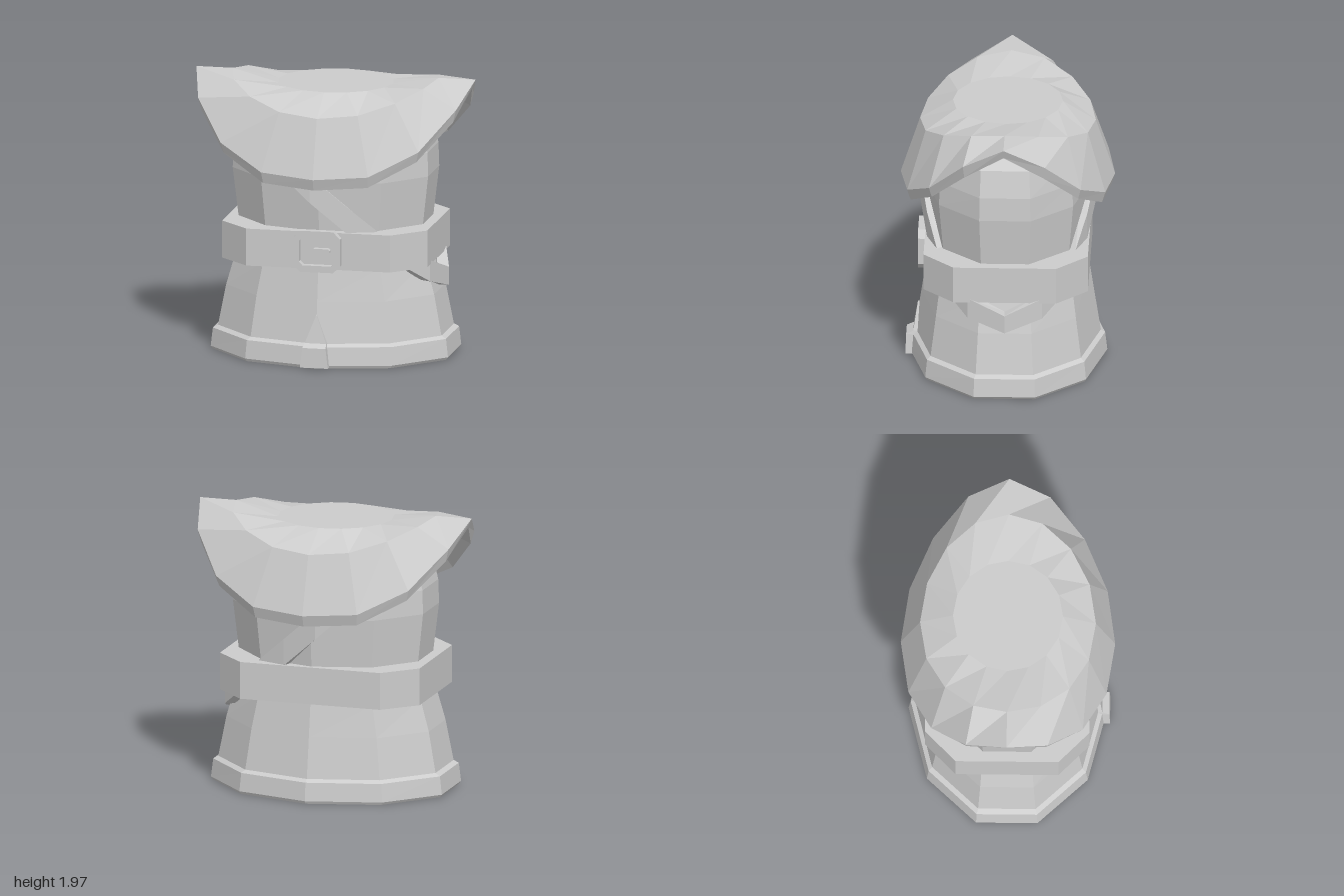
import * as THREE from 'three';

const cloth = new THREE.MeshStandardMaterial({ color: 0xcccccc, flatShading: true });
cloth.name = 'plainGrey';

// Skins closed rings of [x, y, z]; rings run from the underside up the outside.
function loft(rings, { caps = true, closed = false } = {}) {
  const pos = [];
  const n = rings[0].length;
  const tri = (...p) => p.forEach((v) => pos.push(...v));
  const last = closed ? rings.length : rings.length - 1;
  for (let r = 0; r < last; r++) {
    const lo = rings[r], hi = rings[(r + 1) % rings.length];
    for (let i = 0; i < n; i++) {
      const j = (i + 1) % n;
      tri(lo[i], hi[i], lo[j]);
      tri(lo[j], hi[i], hi[j]);
    }
  }
  if (caps && !closed) {
    const end = (ring, up) => {
      const c = [0, 1, 2].map((k) => ring.reduce((s, p) => s + p[k], 0) / n);
      ring.forEach((p, i) => {
        const q = ring[(i + 1) % n];
        if (up) tri(c, q, p); else tri(c, p, q);
      });
    };
    end(rings[0], false);
    end(rings[rings.length - 1], true);
  }
  const g = new THREE.BufferGeometry();
  g.setAttribute('position', new THREE.Float32BufferAttribute(pos, 3));
  g.computeVertexNormals();
  return g;
}

// Ten-sided ring with a flat at each side and a corner at front and back.
function tenSided(y, sideX, rz) {
  const rx = sideX / Math.cos(Math.PI / 10);
  return Array.from({ length: 10 }, (_, i) => {
    const a = ((2 * i + 1) * Math.PI) / 10;
    return [Math.cos(a) * rx, y, Math.sin(a) * rz];
  });
}

// Sixteen-sided ring whose height follows a quarter table, from side to front.
function capeRing(rx, rz, heights) {
  return Array.from({ length: 16 }, (_, i) => {
    const a = (i * Math.PI) / 8;
    const q = i % 8;
    return [Math.cos(a) * rx, heights[q > 4 ? 8 - q : q], Math.sin(a) * rz];
  });
}

// Octagon outline with cut corners, for the buckle.
function cutRect(Type, cx, cy, w, h, c) {
  const pts = [[-w, -h + c], [-w + c, -h], [w - c, -h], [w, -h + c], [w, h - c], [w - c, h], [-w + c, h], [-w, h - c]];
  return new Type(pts.map(([x, y]) => new THREE.Vector2(cx + x, cy + y)));
}

export function createModel() {
  const model = new THREE.Group();
  model.name = 'tunic';
  const add = (name, geometry, parent = model) => {
    const m = new THREE.Mesh(geometry, cloth);
    m.name = name;
    parent.add(m);
    return m;
  };

  // Torso and skirt
  add('tunicBody', loft([
    [0.1, 0.8, 0.655], [0.17, 0.8, 0.65], [0.46, 0.745, 0.605], [0.69, 0.68, 0.57],
    [0.95, 0.66, 0.545], [1.3, 0.7, 0.58], [1.47, 0.695, 0.57], [1.66, 0.65, 0.55], [1.76, 0.46, 0.38],
  ].map((p) => tenSided(...p))));

  // Thick band at the bottom of the skirt
  add('hem', loft([
    [0, 0.835, 0.685], [0.02, 0.85, 0.695], [0.15, 0.835, 0.68], [0.17, 0.8, 0.65],
  ].map((p) => tenSided(...p))));

  // Pointed flap over the front of the hem: [y, half width, z]
  const flap = [[0.01, 0.1, 0.715], [0.15, 0.083, 0.71], [0.175, 0.077, 0.66], [0.37, 0.002, 0.63]];
  add('frontFlap', loft(flap.map(([y, w, z]) => [
    [w, y, z - 0.05], [w, y, z], [-w, y, z], [-w, y, z - 0.05],
  ])));

  // Shoulder cape: underside, rim, then the top
  add('cape', loft([
    capeRing(0.42, 0.37, [1.84, 1.84, 1.83, 1.83, 1.83]),
    capeRing(0.71, 0.585, [1.9, 1.87, 1.8, 1.73, 1.7]),
    capeRing(0.975, 0.725, [1.905, 1.72, 1.475, 1.31, 1.285]),
    capeRing(1, 0.75, [1.97, 1.81, 1.55, 1.39, 1.365]),
    capeRing(0.735, 0.615, [1.97, 1.94, 1.87, 1.8, 1.775]),
    capeRing(0.41, 0.385, [1.915, 1.915, 1.915, 1.915, 1.915]),
  ]));

  // Eight-sided belt
  const corners = [[0.735, 0.36], [0.515, 0.575], [-0.515, 0.575], [-0.735, 0.36],
    [-0.735, -0.36], [-0.515, -0.575], [0.515, -0.575], [0.735, -0.36]];
  add('belt', loft([0.69, 0.955].map((y) => corners.map(([x, z]) => [x, y, z]))));

  // Buckle frame and prong
  const buckle = new THREE.Group();
  buckle.name = 'buckle';
  model.add(buckle);
  const frame = cutRect(THREE.Shape, 0, 0.823, 0.168, 0.147, 0.05);
  frame.holes.push(cutRect(THREE.Path, 0, 0.823, 0.127, 0.1, 0.025));
  add('buckleFrame', new THREE.ExtrudeGeometry(frame, { depth: 0.055, bevelEnabled: false }), buckle)
    .position.z = 0.57;
  const prong = cutRect(THREE.Shape, 0.027, 0.823, 0.062, 0.02, 0.012);
  add('buckleProng', new THREE.ExtrudeGeometry(prong, { depth: 0.045, bevelEnabled: false }), buckle)
    .position.z = 0.57;

  // Slanted strap around the body: [x, z, centre height, half height]
  const half = [
    [0.81, 0, 0.555, 0.065], [0.73, 0.26, 0.645, 0.075], [0.6, 0.39, 0.765, 0.085],
    [0.41, 0.485, 0.86, 0.095], [0.2, 0.56, 1.045, 0.095], [-0.05, 0.62, 1.265, 0.095],
    [-0.25, 0.61, 1.44, 0.09], [-0.48, 0.46, 1.6, 0.08], [-0.55, 0, 1.66, 0.06],
  ];
  const path = [...half, ...half.slice(1, -1).reverse().map(([x, z, y, h]) => [x, -z, y, h])];
  const strapRing = (scale, side) => path.map(([x, z, y, h]) => [x * scale, y + side * h, z * scale]);
  add('strap', loft([
    strapRing(0.9, -1), strapRing(1, -1), strapRing(1, 1), strapRing(0.9, 1),
  ], { closed: true }));

  return model;
}
